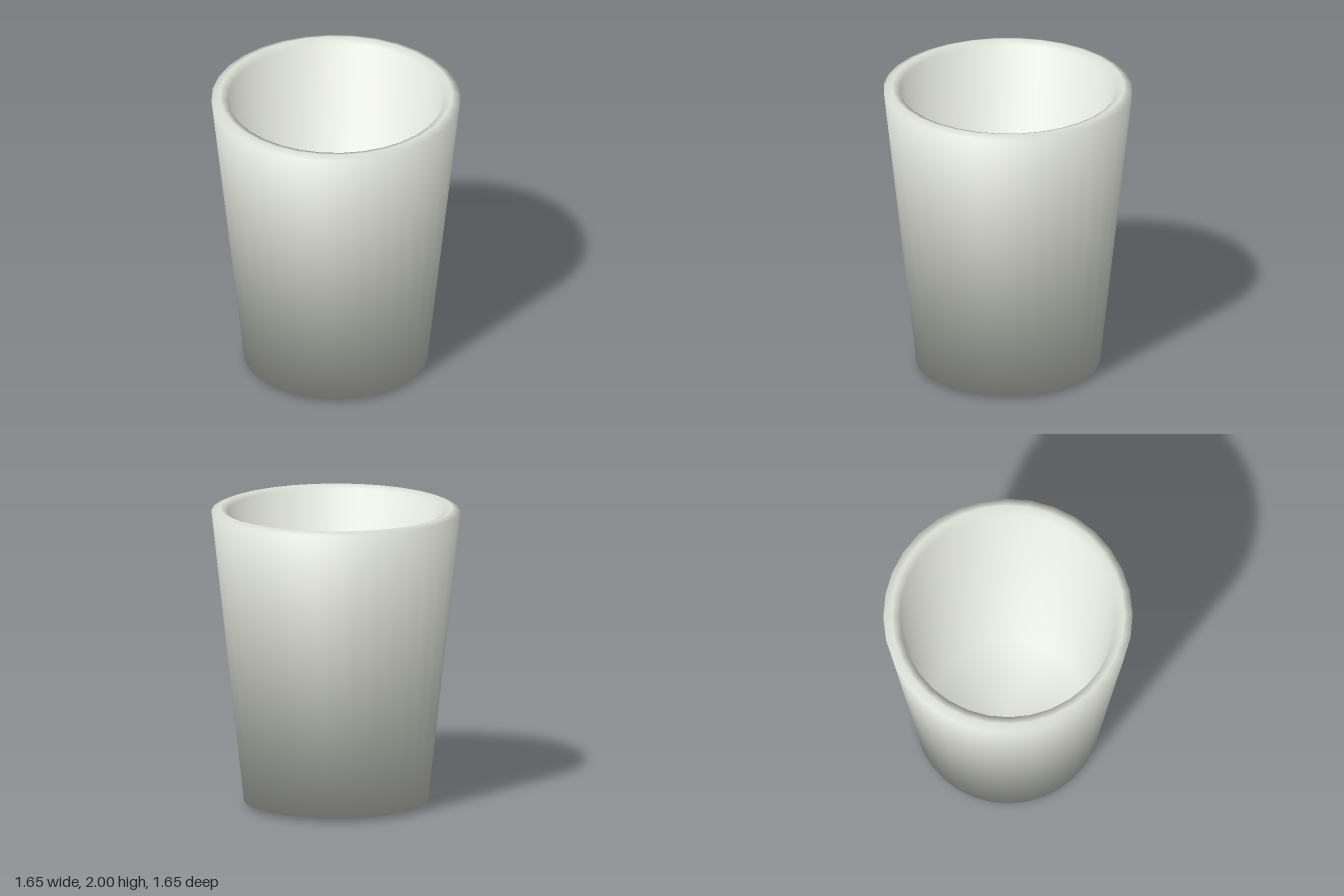
import * as THREE from 'three';

const SEGMENTS = 32;

// Turned shape whose profile edges all weigh equally in the smooth shading
function softLathe(points) {
  const geometry = new THREE.LatheGeometry(points, SEGMENTS);
  const edges = points.slice(1).map((p, i) => {
    const d = p.clone().sub(points[i]).normalize();
    return new THREE.Vector2(d.y, -d.x);
  });
  const normals = points.map((p, j) => {
    const before = edges[Math.max(j - 1, 0)];
    const after = edges[Math.min(j, edges.length - 1)];
    return before.clone().add(after).normalize();
  });
  const attribute = geometry.getAttribute('normal');
  for (let i = 0; i <= SEGMENTS; i++) {
    const angle = (i / SEGMENTS) * Math.PI * 2;
    normals.forEach((n, j) => attribute.setXYZ(
      i * points.length + j, n.x * Math.sin(angle), n.y, n.x * Math.cos(angle)
    ));
  }
  return geometry;
}

export function createModel() {
  const model = new THREE.Group();
  model.name = 'tumbler';

  // Closed wall profile: underside, outer wall, rounded rim, inner wall, inside floor
  const profile = [
    [0, 0], [0.48, 0], [0.61, 0.025],
    [0.825, 1.98], [0.77, 2], [0.715, 1.98],
    [0.51, 0.12], [0, 0.12],
  ].map(([r, y]) => new THREE.Vector2(r, y));

  const cup = new THREE.Mesh(
    softLathe(profile),
    new THREE.MeshStandardMaterial({ color: 0xe0e3d9 })
  );
  cup.name = 'cup';
  model.add(cup);
  return model;
}
